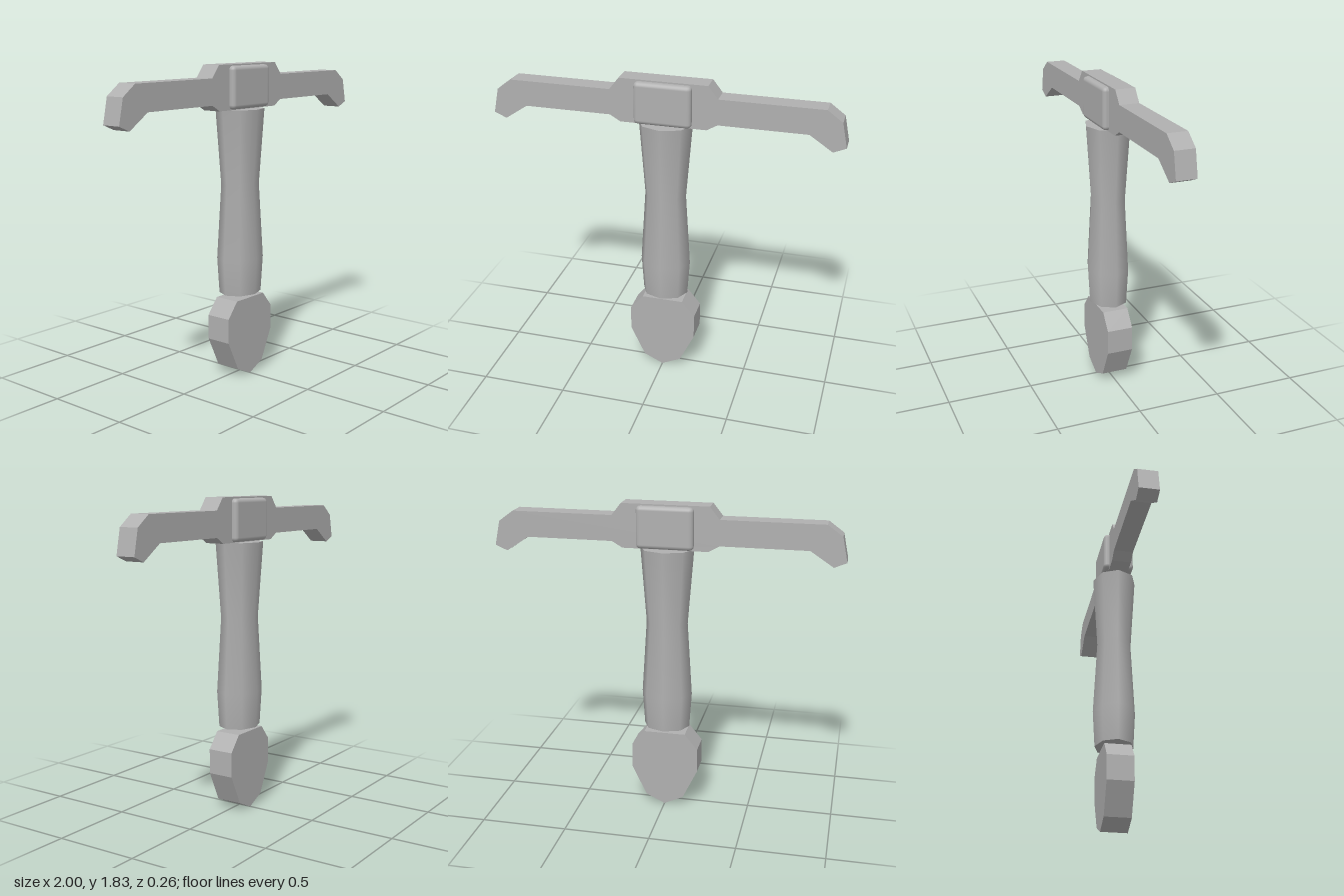
import * as THREE from 'three';
import { RoundedBoxGeometry } from 'three/addons/geometries/RoundedBoxGeometry.js';

export function createModel() {
  const model = new THREE.Group();
  const grey = new THREE.MeshStandardMaterial({ color: 0xb0b0b0 });
  grey.name = 'grey metal';

  const add = (name, geometry, parent = model) => {
    const mesh = new THREE.Mesh(geometry, grey);
    mesh.name = name;
    parent.add(mesh);
    return mesh;
  };

  // Flat plate from the right half of a symmetric outline, listed bottom to top
  const plate = (half, depth) => {
    const mirrored = half.filter(([x]) => x > 0).reverse().map(([x, y]) => [-x, y]);
    const shape = new THREE.Shape([...half, ...mirrored].map(([x, y]) => new THREE.Vector2(x, y)));
    return new THREE.ExtrudeGeometry(shape, { depth, bevelEnabled: false }).translate(0, 0, -depth / 2);
  };

  // Crossguard with drooping tips
  add('crossguard', plate([
    [0.245, 1.578], [0.305, 1.613], [0.8, 1.613], [0.93, 1.527], [1, 1.557],
    [0.97, 1.698], [0.885, 1.76], [0.305, 1.76], [0.25, 1.83],
  ], 0.114));

  // Bevelled block in the middle of the guard
  add('guardBlock', new RoundedBoxGeometry(0.325, 0.24, 0.18, 2, 0.024)).position.y = 1.702;

  // Pommel
  add('pommel', plate([
    [0, 0], [0.112, 0.053], [0.198, 0.233], [0.198, 0.378], [0.122, 0.47],
  ], 0.154));

  // Waisted grip: eight sides, oval in section, with end caps
  const grip = new THREE.Group();
  grip.name = 'grip';
  grip.scale.z = 0.83;
  model.add(grip);
  const profile = [[0.135, 0.495], [0.149, 0.705], [0.121, 1.14], [0.155, 1.575]];
  add('gripBody', new THREE.LatheGeometry(profile.map(([r, y]) => new THREE.Vector2(r, y)), 8), grip);
  for (const [name, [r, y], turn] of [['gripBottom', profile[0], 1], ['gripTop', profile[3], -1]]) {
    add(name, new THREE.CircleGeometry(r, 8).rotateX(turn * Math.PI / 2), grip).position.y = y;
  }

  return model;
}
